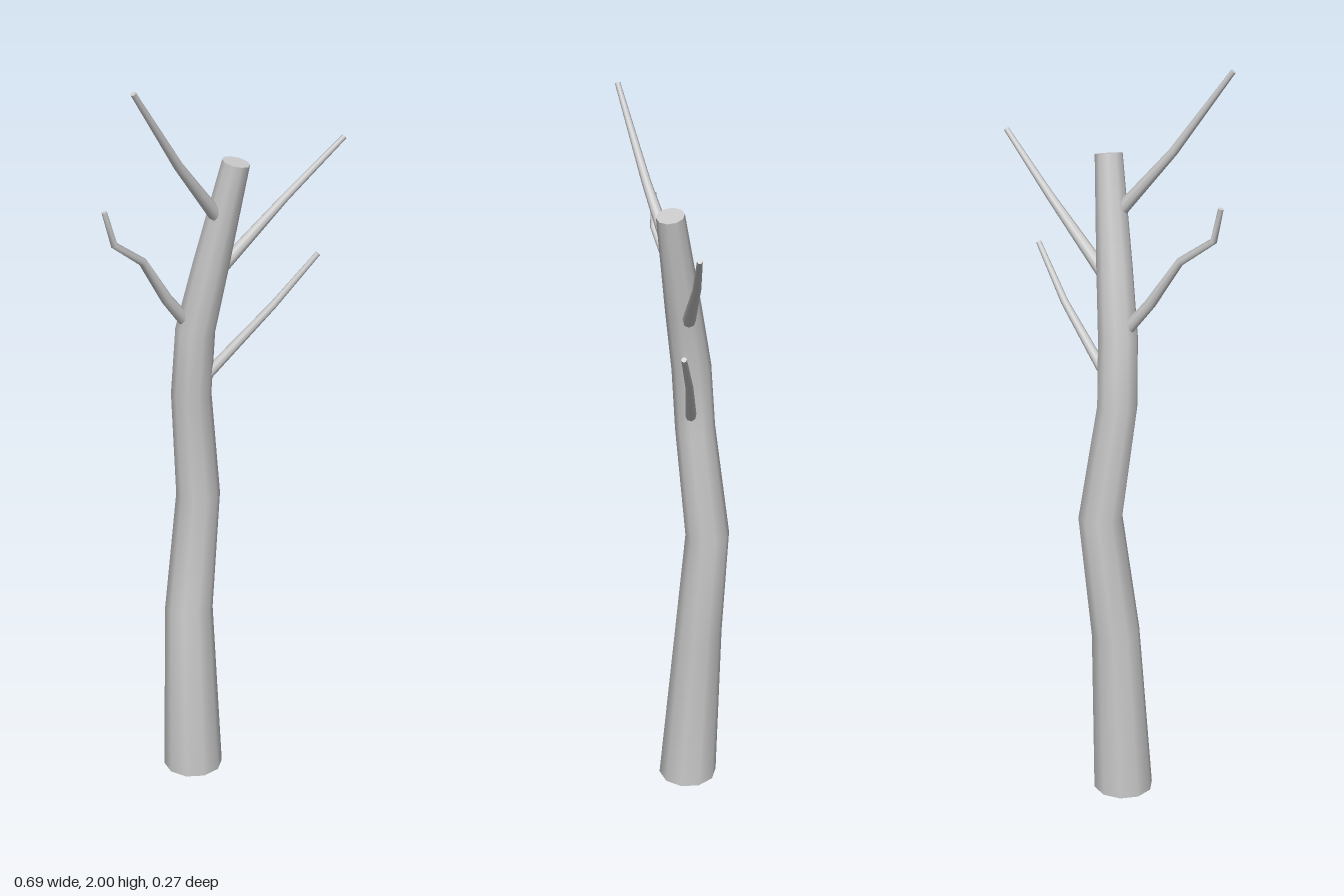
import * as THREE from 'three';

const material = new THREE.MeshStandardMaterial({ color: 0xcccccc });

// Tapered limb: a capped cylinder bent so that each ring sits on a point [x, y, z, radius].
function limb(name, points, sides, flatBase) {
  const centres = points.map(([x, y, z]) => new THREE.Vector3(x, y, z));
  const last = points.length - 1;
  const up = new THREE.Vector3(0, 1, 0);
  const turns = centres.map((c, i) => {
    const dir = new THREE.Vector3();
    if (i > 0) dir.add(c.clone().sub(centres[i - 1]).normalize());
    if (i < last) dir.add(centres[i + 1].clone().sub(c).normalize());
    if (i === 0 && flatBase) dir.copy(up);
    return new THREE.Quaternion().setFromUnitVectors(up, dir.normalize());
  });

  const geometry = new THREE.CylinderGeometry(1, 1, 1, sides, last);
  const { position, normal } = geometry.attributes;
  const v = new THREE.Vector3();
  for (let i = 0; i < position.count; i++) {
    v.fromBufferAttribute(position, i);
    const ring = Math.round((v.y + 0.5) * last);
    v.setY(0).multiplyScalar(points[ring][3]).applyQuaternion(turns[ring]).add(centres[ring]);
    position.setXYZ(i, v.x, v.y, v.z);
    v.fromBufferAttribute(normal, i).applyQuaternion(turns[ring]);
    normal.setXYZ(i, v.x, v.y, v.z);
  }

  const mesh = new THREE.Mesh(geometry, material);
  mesh.name = name;
  return mesh;
}

export function createModel() {
  const tree = new THREE.Group();
  tree.name = 'bareTree';

  // Crooked trunk
  tree.add(limb('trunk', [
    [-0.086, 0, -0.031, 0.081],
    [-0.083, 0.48, -0.06, 0.065],
    [-0.046, 0.81, -0.079, 0.059],
    [-0.077, 1.12, -0.048, 0.053],
    [-0.069, 1.3, -0.037, 0.052],
    [-0.035, 1.48, -0.013, 0.047],
    [0.018, 1.756, 0.024, 0.036],
  ], 10, true));

  // Branches, each starting inside the trunk
  const branches = {
    upperRightBranch: [
      [-0.02, 1.605, 0.01, 0.019], [-0.155, 1.78, 0.07, 0.012], [-0.293, 1.993, 0.13, 0.007],
    ],
    lowerRightBranch: [
      [-0.085, 1.315, -0.035, 0.018], [-0.156, 1.405, -0.014, 0.015], [-0.23, 1.525, 0.012, 0.011],
      [-0.315, 1.59, 0.04, 0.009], [-0.338, 1.677, 0.037, 0.007],
    ],
    upperLeftBranch: [
      [-0.005, 1.46, -0.024, 0.018], [0.177, 1.628, -0.026, 0.011], [0.337, 1.772, -0.017, 0.007],
    ],
    lowerLeftBranch: [
      [-0.043, 1.165, -0.034, 0.015], [0.14, 1.345, -0.012, 0.01], [0.254, 1.478, 0.012, 0.007],
    ],
  };
  for (const [name, points] of Object.entries(branches)) tree.add(limb(name, points, 8, false));

  return tree;
}
